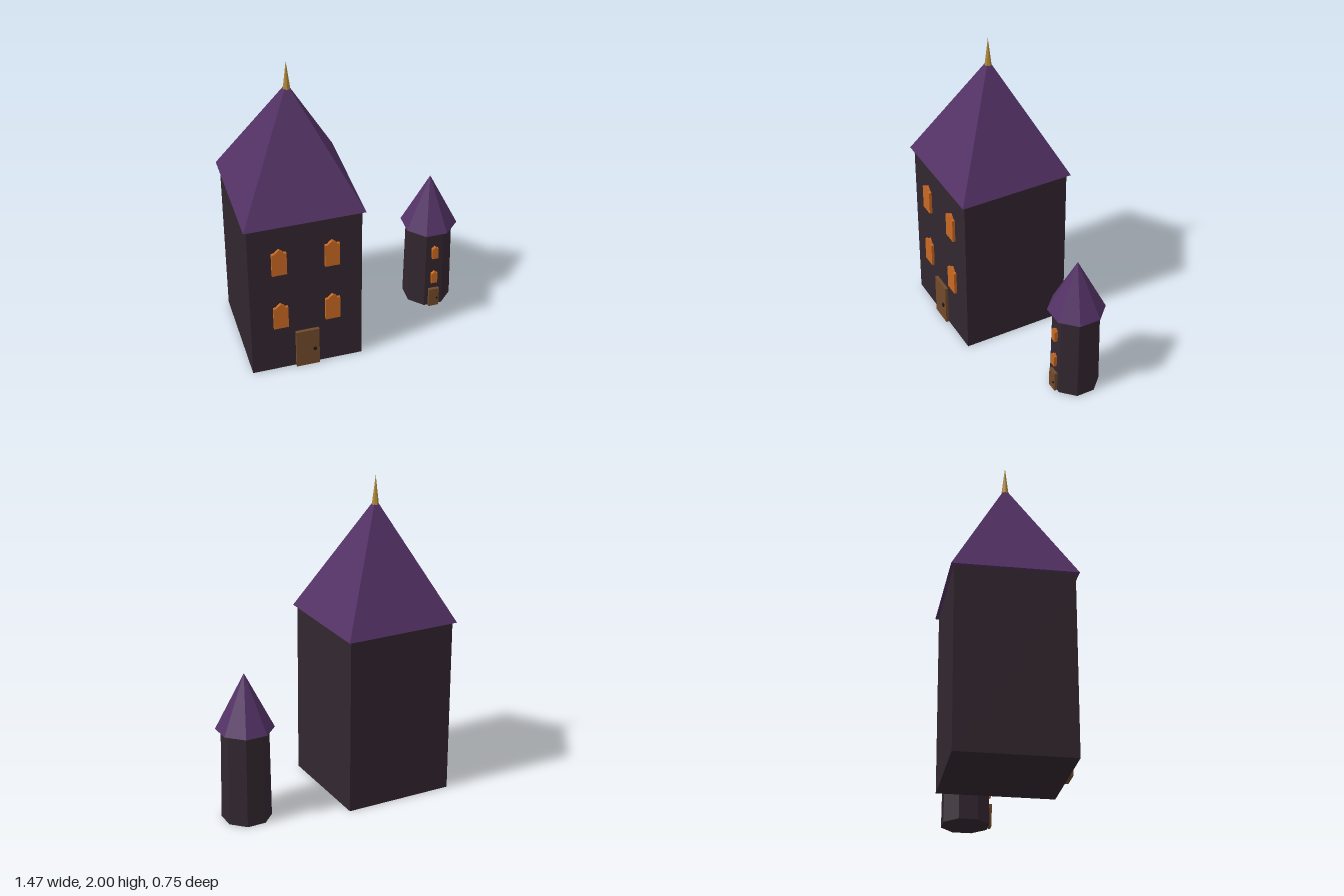
import * as THREE from 'three';

const mat = (name, color) => {
  const m = new THREE.MeshStandardMaterial({ color, flatShading: true });
  m.name = name;
  return m;
};

export function createModel() {
  const wall = mat('dark plum wall', 0x32262f);
  const roof = mat('purple roof', 0x533265);
  const glow = mat('orange window', 0xc86822);
  const wood = mat('brown door', 0x704a2a);
  const gold = mat('gold spire', 0xb08a3a);
  const iron = mat('dark iron', 0x1c161c);

  const model = new THREE.Group();
  model.name = 'towers';

  const add = (parent, name, geometry, material, x, y, z, turn = 0) => {
    const mesh = new THREE.Mesh(geometry, material);
    mesh.name = name;
    mesh.position.set(x, y, z);
    mesh.rotation.y = turn;
    parent.add(mesh);
    return mesh;
  };

  // Window with shoulders and a small pointed arch, origin at the sill centre
  const windowGeometry = (w, h, depth) => {
    const half = [[0.5, 0], [0.5, 0.84], [0.31, 0.85], [0.2, 0.92], [0.07, 0.97], [0, 1]];
    const left = half.slice(0, -1).reverse().map(([x, y]) => [-x, y]);
    const points = [...half, ...left].map(([x, y]) => new THREE.Vector2(x * w, y * h));
    return new THREE.ExtrudeGeometry(new THREE.Shape(points), { depth, bevelEnabled: false });
  };

  // Door with knob, standing on the ground against a wall at z = 0
  const addDoor = (parent, w, h, depth, z, knob) => {
    add(parent, 'door', new THREE.BoxGeometry(w, h, depth), wood, 0, h / 2, z + depth / 2);
    add(parent, 'doorKnob', new THREE.BoxGeometry(knob, knob, knob * 0.6), iron,
      w * 0.3, h * 0.46, z + depth + knob * 0.2);
  };

  // Large square tower
  const keep = new THREE.Group();
  keep.name = 'squareTower';
  keep.position.set(-0.365, 0, -0.005);
  model.add(keep);
  add(keep, 'walls', new THREE.BoxGeometry(0.7, 1.12, 0.7), wall, 0, 0.56, 0);
  add(keep, 'roof', new THREE.ConeGeometry(0.37 * Math.SQRT2, 0.735, 4), roof, 0, 1.4875, 0, Math.PI / 4);
  add(keep, 'spire', new THREE.ConeGeometry(0.022, 0.18, 8), gold, 0, 1.91, 0);
  const bigWindow = windowGeometry(0.092, 0.19, 0.02);
  for (const x of [-0.163, 0.163])
    for (const y of [0.343, 0.762]) add(keep, 'window', bigWindow, glow, x, y, 0.348);
  addDoor(keep, 0.148, 0.28, 0.02, 0.35, 0.019);

  // Small eight-sided turret with a flat side to the front
  const turret = new THREE.Group();
  turret.name = 'turret';
  turret.position.set(0.565, 0, -0.103);
  model.add(turret);
  const corner = 1 / Math.cos(Math.PI / 8);
  add(turret, 'walls', new THREE.CylinderGeometry(0.134 * corner, 0.142 * corner, 0.59, 8), wall,
    0, 0.295, 0, Math.PI / 8);
  add(turret, 'roof', new THREE.ConeGeometry(0.165 * corner, 0.352, 8), roof, 0, 0.766, 0, Math.PI / 8);
  const smallWindow = windowGeometry(0.04, 0.092, 0.022);
  for (const y of [0.19, 0.392]) add(turret, 'window', smallWindow, glow, 0, y, 0.136);
  addDoor(turret, 0.068, 0.138, 0.02, 0.14, 0.011);

  return model;
}
